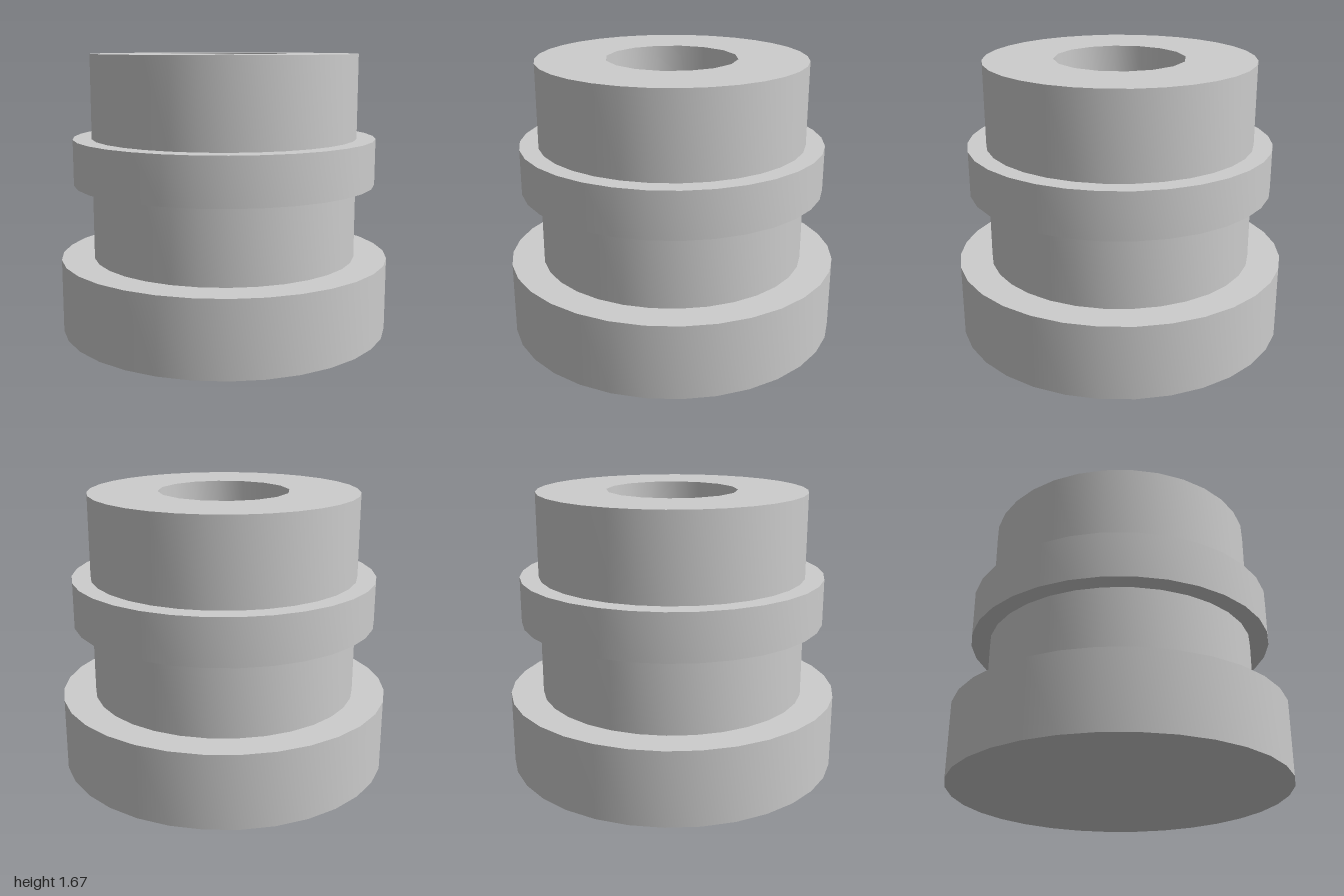
import * as THREE from 'three';
import { toCreasedNormals } from 'three/addons/utils/BufferGeometryUtils.js';

const SIDES = 32, BORE_SIDES = 16;
const BODY_R = 0.803, BORE_R = 0.39, TOP = 1.67, BASE_TOP = 0.445;

export function createModel() {
  const group = new THREE.Group();
  const metal = new THREE.MeshStandardMaterial({ color: 0xcccccc });
  metal.name = 'light grey';

  const add = (name, geometry) => {
    const mesh = new THREE.Mesh(geometry, metal);
    mesh.name = name;
    group.add(mesh);
    return mesh;
  };

  // Turned surface with round sides and sharp rims
  const turn = (name, profile, sides = SIDES) => add(name, toCreasedNormals(
    new THREE.LatheGeometry(profile.map(([r, y]) => new THREE.Vector2(r, y)), sides), 0.6));

  // Solid foot with a ledge around the body
  turn('base', [[0, 0], [1, 0], [1, BASE_TOP], [BODY_R, BASE_TOP]]);

  // Body wall below and above the collar
  turn('lowerBody', [[BODY_R, BASE_TOP], [BODY_R, 0.895]]);
  turn('collar', [[BODY_R, 0.895], [0.915, 0.895], [0.915, 1.17], [BODY_R, 1.17]]);
  turn('upperBody', [[BODY_R, 1.17], [BODY_R, TOP]]);

  // Blind bore: wall faces inward, floor faces up
  turn('bore', [[BORE_R, TOP], [BORE_R, BASE_TOP], [0, BASE_TOP]], BORE_SIDES);

  // Flat top face around the bore
  const circle = (r, n) => Array.from({ length: n }, (_, i) => {
    const a = (i / n) * Math.PI * 2;
    return new THREE.Vector2(r * Math.cos(a), r * Math.sin(a));
  });
  const shape = new THREE.Shape(circle(BODY_R, SIDES));
  shape.holes.push(new THREE.Path(circle(BORE_R, BORE_SIDES)));
  const top = add('topFace', new THREE.ShapeGeometry(shape));
  top.rotation.x = -Math.PI / 2;
  top.position.y = TOP;

  return group;
}
